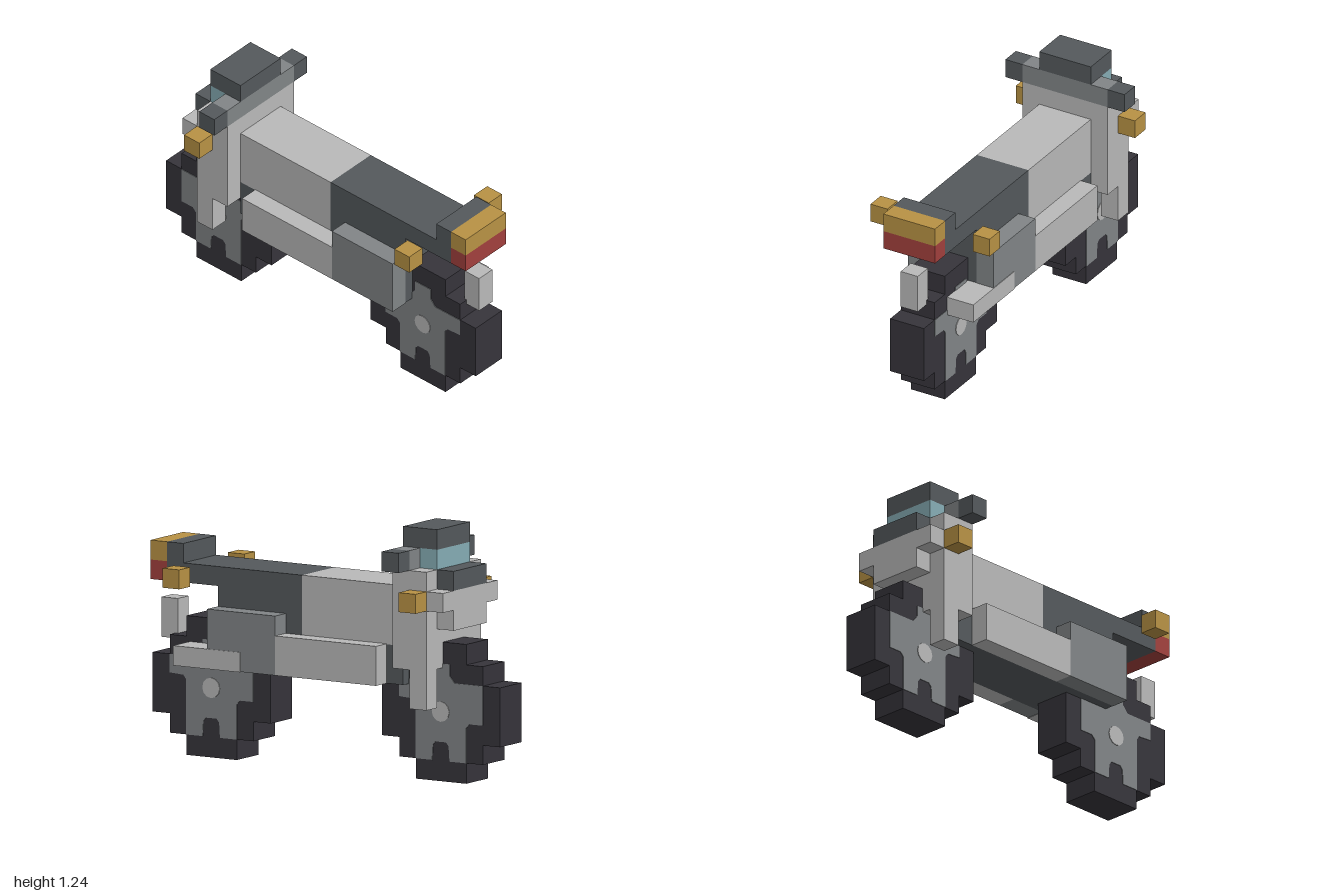
import * as THREE from 'three';

const mat = (name, color) => {
  const m = new THREE.MeshStandardMaterial({ color });
  m.name = name;
  return m;
};

export function createModel() {
  const light = mat('light grey', 0xb9b9b9);
  const grey = mat('mid grey', 0x818587);
  const dark = mat('dark grey', 0x54595c);
  const black = mat('tyre black', 0x36343b);
  const gold = mat('amber', 0xb89244);
  const red = mat('red', 0xa2403d);
  const teal = mat('glass', 0x86adb5);

  const bike = new THREE.Group();
  bike.name = 'motorbike';

  // Block given by its limits on each axis
  const block = (name, material, [x0, x1], [y0, y1], [z0, z1]) => {
    const mesh = new THREE.Mesh(new THREE.BoxGeometry(x1 - x0, y1 - y0, z1 - z0), material);
    mesh.position.set((x0 + x1) / 2, (y0 + y1) / 2, (z0 + z1) / 2);
    mesh.name = name;
    bike.add(mesh);
  };
  const pair = (name, material, [x0, x1], y, z) => {
    block(name + 'Left', material, [x0, x1], y, z);
    block(name + 'Right', material, [-x1, -x0], y, z);
  };
  const mid = [-0.145, 0.145];
  const side = [0.145, 0.24];
  const outer = [0.24, 0.335];

  // Tank, seat, engine and tail
  block('tank', light, mid, [0.65, 0.945], [-0.48, 0.107]);
  block('seat', dark, mid, [0.65, 0.945], [0.107, 0.59]);
  block('engine', dark, mid, [0.46, 0.65], [-0.475, 0.59]);
  block('tail', dark, mid, [0.85, 0.945], [0.59, 0.79]);
  block('tailBlock', dark, mid, [0.85, 1.04], [0.79, 0.885]);
  block('tailLampAmber', gold, mid, [0.945, 1.04], [0.885, 0.98]);
  block('tailLampRed', red, mid, [0.85, 0.945], [0.885, 0.98]);
  block('rearPlate', light, [-0.048, 0.048], [0.555, 0.75], [0.885, 0.98]);

  // Side panels and exhaust
  pair('sidePanel', light, side, [0.46, 0.653], [-0.38, 0.2]);
  pair('pannier', grey, side, [0.46, 0.75], [0.2, 0.592]);
  block('exhaust', light, [0.095, 0.243], [0.458, 0.555], [0.4, 0.785]);

  // Front fairing and fork legs
  block('fairing', light, [-0.24, 0.24], [0.555, 1.04], [-0.67, -0.475]);
  pair('forkLeg', light, side, [0.365, 0.555], [-0.67, -0.572]);
  block('noseWide', light, [-0.24, 0.24], [0.85, 0.945], [-0.765, -0.67]);
  block('noseNarrow', light, mid, [0.75, 0.85], [-0.765, -0.67]);
  block('noseTop', dark, mid, [0.945, 1.04], [-0.765, -0.67]);

  // Handlebar and windscreen
  block('handlebar', grey, [-0.24, 0.24], [1.04, 1.137], [-0.572, -0.475]);
  pair('grip', dark, outer, [1.04, 1.137], [-0.572, -0.475]);
  block('windscreen', teal, mid, [1.04, 1.137], [-0.67, -0.572]);
  block('windscreenTop', dark, mid, [1.137, 1.235], [-0.67, -0.475]);

  // Indicators
  pair('frontIndicator', gold, outer, [0.85, 0.945], [-0.67, -0.572]);
  pair('rearIndicator', gold, outer, [0.85, 0.945], [0.69, 0.785]);

  // Wheels: stepped tyre, notched rim and hub
  const steps = [[0.145, 0.34], [0.145, 0.24], [0.24, 0.24], [0.24, 0.145], [0.34, 0.145]];
  const right = [...steps, ...steps.map(([x, y]) => [x, -y]).reverse()];
  const tyre = [...right, ...right.map(([x, y]) => [-x, y]).reverse()];
  const rim = [
    [-0.145, -0.24], [-0.05, -0.24], [-0.045, -0.165], [-0.03, -0.148], [0.03, -0.148], [0.045, -0.165],
    [0.05, -0.24], [0.145, -0.24], [0.145, -0.07], [0.165, -0.048], [0.24, -0.048], [0.24, 0.145],
    [0.08, 0.145], [0.05, 0.18], [0.05, 0.235], [-0.05, 0.235], [-0.05, 0.18], [-0.08, 0.145],
    [-0.24, 0.145], [-0.24, 0.055], [-0.16, 0.05], [-0.145, 0.03],
  ];
  const slab = (name, points, width, material) => {
    const shape = new THREE.Shape(points.map(([x, y]) => new THREE.Vector2(x, y)));
    const geo = new THREE.ExtrudeGeometry(shape, { depth: width, bevelEnabled: false });
    geo.translate(0, 0, -width / 2).rotateY(Math.PI / 2);
    const mesh = new THREE.Mesh(geo, material);
    mesh.name = name;
    return mesh;
  };
  for (const [name, z] of [['frontWheel', -0.66], ['rearWheel', 0.66]]) {
    const wheel = new THREE.Group();
    wheel.name = name;
    const hub = new THREE.Mesh(new THREE.CylinderGeometry(0.05, 0.05, 0.202, 12).rotateZ(Math.PI / 2), light);
    hub.name = 'hub';
    wheel.add(slab('tyre', tyre, 0.19, black), slab('rim', rim, 0.196, grey), hub);
    wheel.position.set(0, 0.34, z);
    bike.add(wheel);
  }
  return bike;
}
